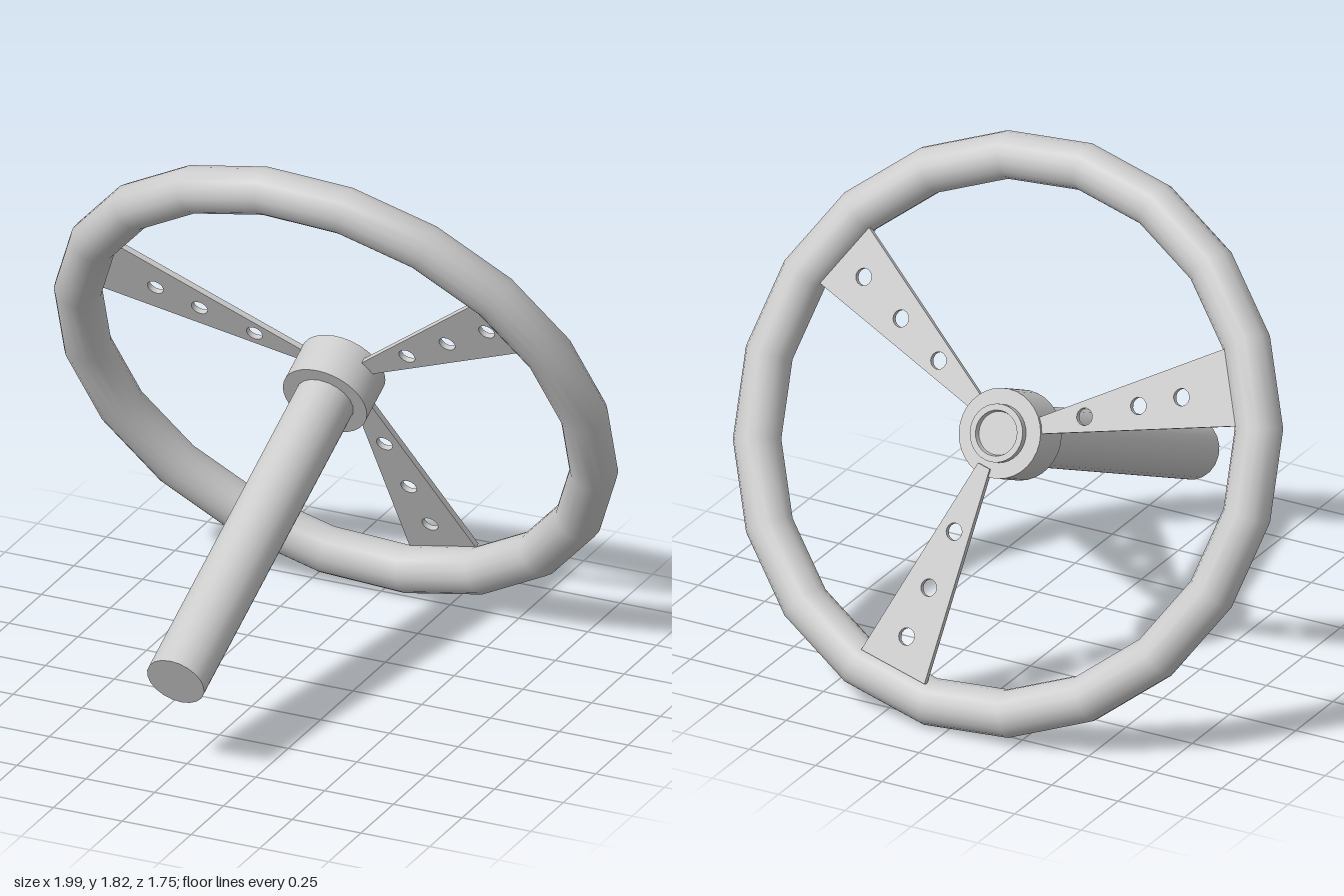
import * as THREE from 'three';
import { toCreasedNormals } from 'three/addons/utils/BufferGeometryUtils.js';

const DEG = Math.PI / 180;

export function createModel() {
  const material = new THREE.MeshStandardMaterial({ color: 0xcccccc });
  const model = new THREE.Group();
  model.name = 'steeringWheel';

  // Local frame of the wheel: xy is the wheel plane, +z runs down the column
  const wheel = new THREE.Group();
  wheel.name = 'tiltedAssembly';
  wheel.position.set(0, 0.909, -0.4);
  wheel.rotation.x = 25 * DEG;
  model.add(wheel);

  const add = (name, geometry) => {
    const mesh = new THREE.Mesh(geometry, material);
    mesh.name = name;
    wheel.add(mesh);
    return mesh;
  };

  // Turned part: profile of [radius, z], listed with rising z on the outside
  const turned = (profile, sides) => {
    const points = profile.map(([r, z]) => new THREE.Vector2(r, z));
    const geometry = new THREE.LatheGeometry(points, sides).rotateX(Math.PI / 2);
    return toCreasedNormals(geometry, 35 * DEG);
  };

  // Rim
  add('rim', new THREE.TorusGeometry(0.92, 0.08, 16, 20).rotateZ(4.7 * DEG));

  // Hub with a raised, dished ring on the driver's side
  add('hub', turned([
    [0, -0.07], [0.072, -0.07], [0.076, -0.088], [0.097, -0.088], [0.097, -0.062],
    [0.15, -0.062], [0.15, 0.095], [0, 0.095],
  ], 32));

  // Steering column
  add('column', turned([[0, 0.05], [0.102, 0.05], [0.102, 1.366], [0, 1.366]], 20));

  // Tapered spokes, each pierced by three holes
  const spokes = [
    { angle: 32.3, z: -0.02, holes: [0.343, 0.54, 0.735] },
    { angle: 157.5, z: -0.042, holes: [0.31, 0.51, 0.67] },
    { angle: -76.3, z: -0.06, holes: [0.36, 0.565, 0.744] },
  ];
  const inner = 0.12, outer = 0.855, thickness = 0.02;
  for (const { angle, z, holes } of spokes) {
    const shape = new THREE.Shape([
      new THREE.Vector2(inner, -0.024), new THREE.Vector2(outer, -0.13),
      new THREE.Vector2(outer, 0.13), new THREE.Vector2(inner, 0.024),
    ]);
    for (const r of holes) {
      shape.holes.push(new THREE.Path().absarc(r, 0, 0.029, 0, Math.PI * 2, true));
    }
    const geometry = new THREE.ExtrudeGeometry(shape, {
      depth: thickness, bevelEnabled: false, curveSegments: 8,
    }).translate(0, 0, -thickness / 2);
    const spoke = add('spoke', toCreasedNormals(geometry, 50 * DEG));
    spoke.rotation.z = angle * DEG;
    spoke.position.z = z;
  }

  return model;
}
